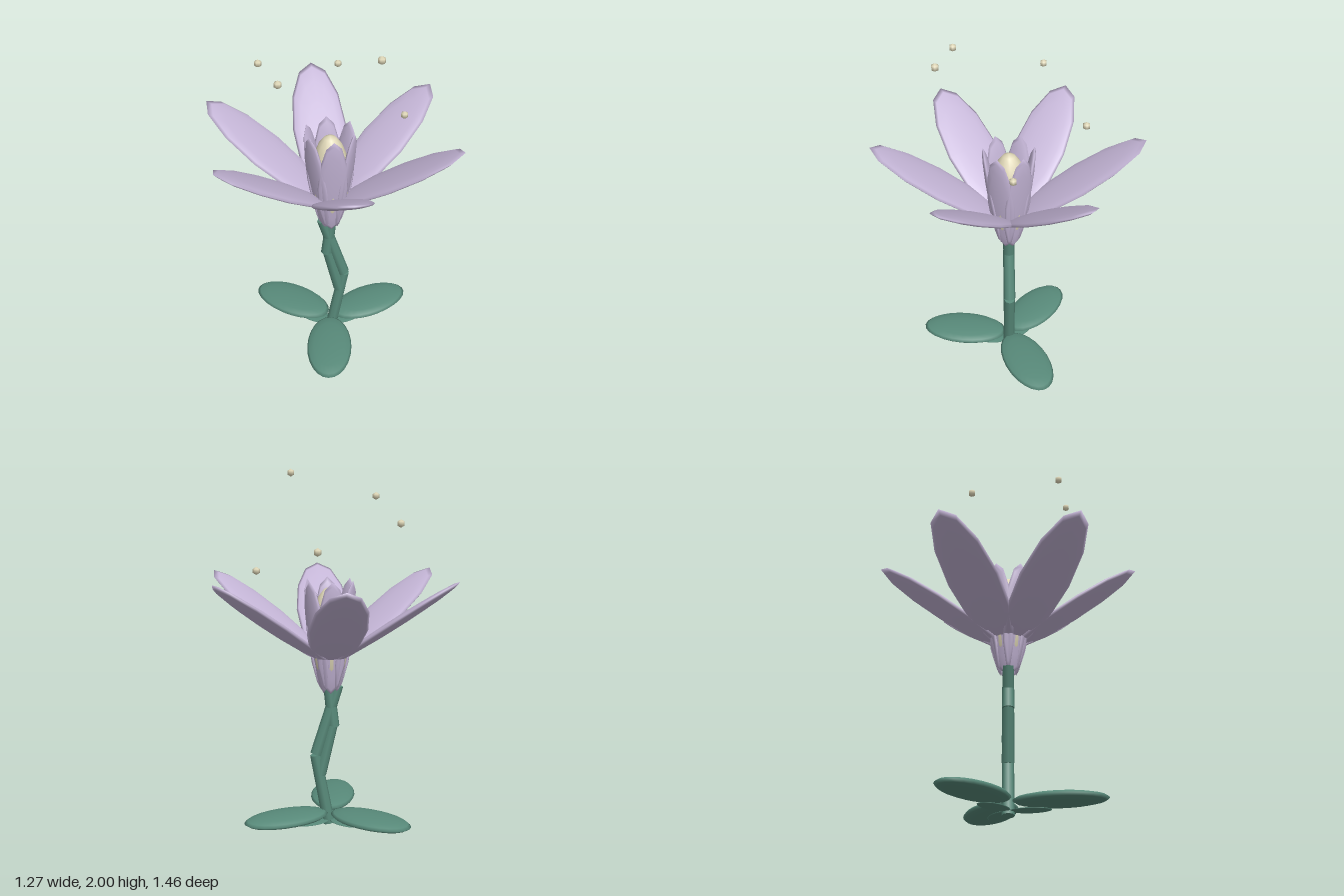
import * as THREE from 'three';

const mat = (name, color) => {
  const m = new THREE.MeshStandardMaterial({ color });
  m.name = name;
  return m;
};

export function createModel() {
  const model = new THREE.Group();
  model.name = 'flower';
  const lilac = mat('lilac petal', 0xc4b5d6);
  const cream = mat('cream pollen', 0xe0d8b8);
  const green = mat('leaf green', 0x588a7a);

  // Flattened ellipsoid lying along z, used for petals and leaves
  const blade = (w, t, l, segs) => new THREE.SphereGeometry(1, segs, 8).scale(w, t, l);

  // Places a blade at a heading around the stem, tipped up by tilt
  const addBlade = (name, geometry, material, heading, radius, y, tilt) => {
    const pivot = new THREE.Group();
    pivot.name = name;
    pivot.rotation.y = heading;
    const mesh = new THREE.Mesh(geometry, material);
    mesh.name = name + 'Blade';
    mesh.position.set(0, y, radius);
    mesh.rotation.x = -tilt;
    pivot.add(mesh);
    model.add(pivot);
  };

  // Six spreading petals around six upright ones
  const outer = blade(0.155, 0.025, 0.425, 12);
  const inner = blade(0.083, 0.024, 0.32, 12);
  for (let i = 0; i < 6; i++) {
    const heading = (i * Math.PI) / 3;
    addBlade('outerPetal', outer, lilac, heading, 0.38, 1.19, 0.6);
    addBlade('innerPetal', inner, lilac, heading, 0.09, 1.092, Math.PI / 2 - 0.15);
  }

  // Cream heart inside the cup
  const heart = new THREE.Mesh(new THREE.SphereGeometry(1, 12, 10).scale(0.108, 0.28, 0.108), cream);
  heart.name = 'heart';
  heart.position.y = 1.09;
  model.add(heart);

  // Crooked stem made of straight pieces
  const up = new THREE.Vector3(0, 1, 0);
  [
    [0.006, 0.008, 0.082, 0.415],
    [0.078, 0.42, -0.045, 0.815],
    [0.055, 0.3, -0.02, 0.615],
    [-0.02, 0.58, 0.005, 0.8],
  ].forEach(([x0, y0, x1, y1]) => {
    const a = new THREE.Vector3(x0, y0, 0);
    const b = new THREE.Vector3(x1, y1, 0);
    const dir = b.clone().sub(a);
    const piece = new THREE.Mesh(new THREE.CylinderGeometry(0.031, 0.034, dir.length(), 8), green);
    piece.name = 'stemPiece';
    piece.position.copy(a).add(b).multiplyScalar(0.5);
    piece.quaternion.setFromUnitVectors(up, dir.normalize());
    model.add(piece);
  });

  // Three ground leaves, each with a small thin leaf beneath
  const leaf = blade(0.13, 0.033, 0.25, 24);
  const leaflet = blade(0.06, 0.006, 0.11, 24);
  for (const degrees of [-10, 110, 230]) {
    const heading = THREE.MathUtils.degToRad(degrees);
    addBlade('leaf', leaf, green, heading, 0.27, 0.08, 0);
    addBlade('lowerLeaf', leaflet, green, heading, 0.115, 0.03, 0);
  }

  // Floating pollen grains
  const grain = new THREE.SphereGeometry(0.022, 6, 3);
  [
    [0.4, 1.46, 0],
    [0.105, 1.59, -0.39],
    [-0.35, 1.72, -0.205],
    [-0.295, 1.85, 0.28],
    [0.185, 1.98, 0.36],
  ].forEach((p) => {
    const mesh = new THREE.Mesh(grain, cream);
    mesh.name = 'pollenGrain';
    mesh.position.set(...p);
    model.add(mesh);
  });

  return model;
}
